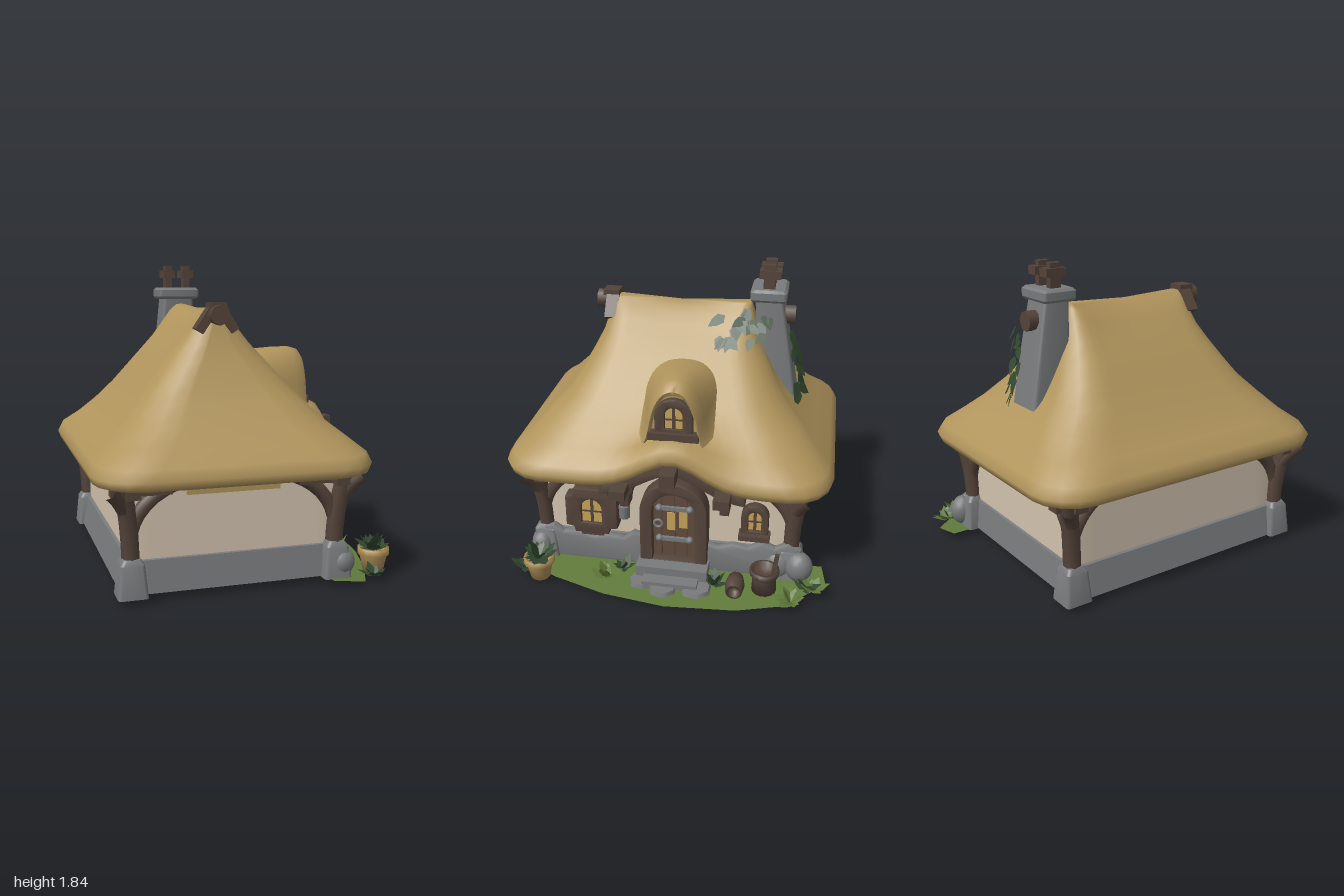
import * as THREE from 'three';
import { toCreasedNormals } from 'three/addons/utils/BufferGeometryUtils.js';

const mat = (name, color, side = THREE.FrontSide) => {
  const m = new THREE.MeshStandardMaterial({ color, side });
  m.name = name;
  return m;
};

export function createModel() {
  const D = THREE.DoubleSide;
  const thatch = mat('thatch', 0xb0945c, D), wood = mat('wood', 0x54443a), doorWood = mat('doorWood', 0x614b3e);
  const stone = mat('stone', 0x787a7b, D), plaster = mat('plaster', 0xd2c3ae, D), grass = mat('grass', 0x617a3b, D);
  const leafGreen = mat('leafGreen', 0x32482f, D), glow = mat('windowGlow', 0xc6a258), clay = mat('clay', 0xb29359, D);
  const house = new THREE.Group();
  house.name = 'cottage';

  // ---------- helpers ----------
  const add = (parent, name, geo, m, x = 0, y = 0, z = 0) => {
    const mesh = new THREE.Mesh(geo, m);
    mesh.name = name;
    mesh.position.set(x, y, z);
    parent.add(mesh);
    return mesh;
  };
  const box = (parent, name, m, w, h, d, x, y, z) => add(parent, name, new THREE.BoxGeometry(w, h, d), m, x, y, z);
  let seed = 7;
  const rnd = () => (seed = (seed * 16807) % 2147483647) / 2147483647;
  const smooth = THREE.MathUtils.smoothstep;
  const vec2 = list => list.map(p => new THREE.Vector2(p[0], p[1]));

  // rounded rectangle loop at height y
  const ring = (y, x0, x1, z0, z1, r, side = 12) => {
    r = Math.min(r, (x1 - x0) / 2.02, (z1 - z0) / 2.02);
    const c = [[x1 - r, z1 - r], [x0 + r, z1 - r], [x0 + r, z0 + r], [x1 - r, z0 + r]], pts = [];
    const at = (i, a) => new THREE.Vector3(c[i][0] + r * Math.cos(a), y, c[i][1] + r * Math.sin(a));
    for (let i = 0; i < 4; i++) {
      const a = i * Math.PI / 2;
      for (let k = 0; k <= 4; k++) pts.push(at(i, a + k * Math.PI / 8));
      const from = pts[pts.length - 1], to = at((i + 1) % 4, a + Math.PI / 2);
      for (let k = 1; k < side; k++) pts.push(from.clone().lerp(to, k / side));
    }
    return pts;
  };
  const loft = (rings, crease, bottom = false, top = false) => {
    const n = rings[0].length, pos = [], idx = [];
    rings.forEach(r => r.forEach(p => pos.push(p.x, p.y, p.z)));
    for (let j = 0; j < rings.length - 1; j++) for (let i = 0; i < n; i++) {
      const a = j * n + i, b = j * n + (i + 1) % n;
      idx.push(a, a + n, b, b, a + n, b + n);
    }
    const cap = (j, up) => {
      const c = rings[j].reduce((s, p) => s.add(p), new THREE.Vector3()).divideScalar(n), k = pos.length / 3;
      pos.push(c.x, c.y, c.z);
      for (let i = 0; i < n; i++) {
        const a = j * n + i, b = j * n + (i + 1) % n;
        up ? idx.push(k, b, a) : idx.push(k, a, b);
      }
    };
    if (bottom) cap(0, false);
    if (top) cap(rings.length - 1, true);
    const g = new THREE.BufferGeometry();
    g.setAttribute('position', new THREE.Float32BufferAttribute(pos, 3));
    g.setIndex(idx);
    g.computeVertexNormals();
    return crease ? toCreasedNormals(g, crease) : g;
  };
  const arch = (T, w, y0, y1) => {
    const s = new T(), r = w / 2;
    s.moveTo(-r, y0).lineTo(r, y0).lineTo(r, y1 - r).absarc(0, y1 - r, r, 0, Math.PI, false).lineTo(-r, y0);
    return s;
  };
  const extrude = (s, depth, bevel = 0.008) => toCreasedNormals(new THREE.ExtrudeGeometry(s, {
    depth, curveSegments: 8, bevelEnabled: bevel > 0, bevelSize: bevel, bevelThickness: bevel, bevelSegments: 2 }), 0.6);
  const branch = (parent, name, pts, r) => add(parent, name, new THREE.TubeGeometry(
    new THREE.QuadraticBezierCurve3(...pts.map(p => new THREE.Vector3(...p))), 6, r, 7), wood);

  // ---------- thatched roof: loops shrinking to the ridge, lifted over the door ----------
  const bell = z => Math.exp(-(((z + 0.06) / 0.25) ** 2));
  const levels = [
    [0.665, -0.7, 0.5, 0.78, 0.1], [0.645, -0.85, 0.66, 0.93, 0.22], [0.665, -0.9, 0.705, 0.985, 0.25],
    [0.71, -0.915, 0.72, 1, 0.26], [0.77, -0.89, 0.7, 0.965, 0.26], [0.85, -0.79, 0.61, 0.87, 0.25],
    [0.95, -0.685, 0.49, 0.78, 0.24], [1.07, -0.58, 0.38, 0.665, 0.21], [1.18, -0.49, 0.28, 0.595, 0.18],
    [1.29, -0.4, 0.185, 0.535, 0.16], [1.38, -0.32, 0.1, 0.488, 0.13], [1.46, -0.245, 0.02, 0.455, 0.1],
    [1.515, -0.195, -0.03, 0.435, 0.07], [1.545, -0.15, -0.075, 0.42, 0.03]];
  const loops = levels.map(([y, x0, x1, z, r]) => ring(y, x0, x1, -z, z, r, 16).map(p => {
    const w = y < 0.7 ? smooth(p.x, 0.2, 0.5) : smooth(p.x, 0.45, 0.72);
    p.y += 0.18 * w * bell(p.z) + 0.045 * smooth(y, 1.35, 1.53) * (p.z / 0.43) ** 2;
    return p;
  }));
  add(house, 'thatchedRoof', loft(loops.slice(1), 0, false, true), thatch);
  add(house, 'mossySoffit', loft(loops.slice(0, 2)), grass);
  add(house, 'ceiling', loft([ring(0.58, -0.69, 0.5, -0.75, 0.75, 0.05)], 0, true), thatch);

  // dormer hood: arched sections [x, half width, top, base], melting into the roof and recessed at the front
  const hoodCurve = new THREE.SplineCurve(vec2([[1.3, 0], [0.88, 0.12], [0.7, 0.35], [0.61, 0.58], [0.48, 0.79], [0.27, 0.95], [0, 1],
    [-0.27, 0.95], [-0.48, 0.79], [-0.61, 0.58], [-0.7, 0.35], [-0.88, 0.12], [-1.3, 0]])).getPoints(36);
  const hood = [[0.1, 0.38, 1.29, 1.1], [0.3, 0.34, 1.305, 0.98], [0.42, 0.3, 1.315, 0.91], [0.52, 0.265, 1.315, 0.86],
    [0.575, 0.24, 1.3, 0.84], [0.6, 0.22, 1.265, 0.84], [0.59, 0.205, 1.24, 0.85], [0.555, 0.2, 1.235, 0.85]];
  add(house, 'dormerHood', loft(hood.map(([x, w, t, b]) => hoodCurve.map(p =>
    new THREE.Vector3(x, b + (t - b) * p.y, -0.06 + w * p.x))), 1, false, true), thatch);

  // ---------- walls ----------
  add(house, 'stoneBase', loft([ring(0.04, -0.76, 0.54, -0.8, 0.8, 0.02), ring(0.225, -0.72, 0.525, -0.775, 0.775, 0.02),
    ring(0.23, -0.69, 0.5, -0.75, 0.75, 0.02)], 0.5), stone);
  add(house, 'plasterWalls', loft([ring(0.22, -0.7, 0.51, -0.76, 0.76, 0.02), ring(0.67, -0.7, 0.51, -0.76, 0.76, 0.02)], 0.5), plaster);
  for (const s of [1, -1]) box(house, 'thatchEdge', thatch, 0.55, 0.03, 0.012, -0.11, 0.59, s * 0.762);

  // ---------- corner posts with braces ----------
  for (const sx of [1, -1]) for (const sz of [1, -1]) {
    const g = new THREE.Group();
    g.name = 'cornerPost';
    g.position.set(sx > 0 ? 0.5 : -0.705, 0, 0.775 * sz);
    house.add(g);
    add(g, 'footStone', loft([ring(0.035, -0.085, 0.085, -0.085, 0.085, 0.02, 2), ring(0.22, -0.068, 0.068, -0.068, 0.068, 0.02, 2),
      ring(0.25, -0.05, 0.05, -0.05, 0.05, 0.02, 2)], 0.5, true, true), stone);
    branch(g, 'post', [[0, 0.2, 0], [0, 0.45, 0], [sx * 0.05, 0.66, sz * 0.05]], 0.052);
    branch(g, 'braceAcross', [[0, 0.38, 0], [-sx * 0.04, 0.56, 0], [-sx * 0.24, 0.64, 0]], 0.042);
    branch(g, 'braceAlong', [[0, 0.38, 0], [0, 0.56, -sz * 0.04], [0, 0.64, -sz * 0.22]], 0.042);
    branch(g, 'braceOut', [[0, 0.42, 0], [sx * 0.03, 0.56, sz * 0.02], [sx * 0.13, 0.65, sz * 0.1]], 0.045);
    box(g, 'beamAcross', wood, 0.34, 0.065, 0.08, -sx * 0.06, 0.63, 0);
    box(g, 'beamAlong', wood, 0.08, 0.065, 0.32, 0, 0.63, -sz * 0.04);
  }

  // ---------- entrance side; local x runs toward -z, local z toward +x ----------
  const facade = new THREE.Group();
  facade.name = 'entranceSide';
  facade.rotation.y = Math.PI / 2;
  house.add(facade);
  const band = low => {
    const top = [], N = 20;
    for (let i = 0; i <= N; i++) top.push(new THREE.Vector2(-0.37 + i * 0.86 / N, 0.665 + 0.17 * bell(0.37 - i * 0.86 / N)));
    return new THREE.Shape([...top, ...top.map(p => new THREE.Vector2(p.x, low ?? p.y - 0.065)).reverse()]);
  };
  add(facade, 'gablePlaster', extrude(band(0.6), 0.02, 0), plaster, 0, -0.01, 0.495);
  add(facade, 'thatchTrim', extrude(band(), 0.02, 0), thatch, 0, -0.022, 0.51);
  add(facade, 'archBeam', extrude(band(), 0.09), wood, 0, 0, 0.59);
  box(facade, 'ridgeBeamEnd', wood, 0.09, 0.08, 0.3, 0.06, 0.805, 0.67);
  const knee = new THREE.Shape(vec2([[-0.055, 0.66], [-0.045, 0.59], [-0.025, 0.56], [-0.02, 0.49], [0.02, 0.49], [0.025, 0.56], [0.045, 0.59], [0.055, 0.66]]));
  for (const u of [-0.24, 0.37]) {
    box(facade, 'bracketBeam', wood, 0.095, 0.06, 0.34, u, 0.668, 0.63);
    add(facade, 'bracketKnee', extrude(knee, 0.1), wood, u, 0, 0.51);
  }
  const frame = (name, u, z, w, y0, y1, iw, iy0, iy1, d) => {
    const s = arch(THREE.Shape, w, y0, y1);
    s.holes.push(arch(THREE.Path, iw, iy0, iy1));
    add(facade, name, extrude(s, d), wood, u, 0, z);
  };
  const panes = (u, z, w, y0, y1) => {
    add(facade, 'litPane', extrude(arch(THREE.Shape, w, y0, y1), 0.008, 0), glow, u, 0, z);
    box(facade, 'mullion', wood, 0.018, y1 - y0, 0.014, u, (y0 + y1) / 2, z + 0.006);
    box(facade, 'glazingBar', wood, w, 0.01, 0.012, u, y0 + (y1 - y0) * 0.45, z + 0.006);
  };

  // rough stone footing either side of the door
  for (const line of [[[-0.8, 0.22], [-0.72, 0.24], [-0.66, 0.2], [-0.56, 0.21], [-0.46, 0.18], [-0.36, 0.205], [-0.26, 0.19], [-0.2, 0.24], [-0.14, 0.22]],
    [[0.26, 0.21], [0.33, 0.19], [0.42, 0.22], [0.52, 0.205], [0.6, 0.25], [0.68, 0.22], [0.76, 0.26], [0.82, 0.23]]]) {
    const s = new THREE.Shape(vec2([[line[0][0], 0.05], ...line, [line[line.length - 1][0], 0.05]].reverse()));
    add(facade, 'roughFooting', extrude(s, 0.025, 0.018), stone, 0, 0, 0.52);
  }

  // door
  frame('doorFrame', 0.06, 0.5, 0.4, 0.1, 0.66, 0.28, 0.11, 0.6, 0.11);
  add(facade, 'door', extrude(arch(THREE.Shape, 0.28, 0.11, 0.6), 0.05, 0), doorWood, 0.06, 0, 0.51);
  for (const u of [-0.02, 0.06, 0.14]) box(facade, 'doorGroove', wood, 0.008, 0.43, 0.006, u, 0.34, 0.56);
  for (const [u, y] of [[0.04, 0.375], [0.115, 0.395]]) box(facade, 'doorPane', glow, 0.05, 0.125, 0.009, u, y, 0.563);
  for (const y of [0.25, 0.47]) {
    box(facade, 'hinge', stone, 0.19, 0.025, 0.02, 0.06, y, 0.57);
    for (const u of [-0.035, 0.155]) add(facade, 'hingeEnd', new THREE.SphereGeometry(0.024, 8, 6), stone, u, y, 0.57);
  }
  add(facade, 'knocker', new THREE.TorusGeometry(0.025, 0.009, 6, 12), stone, -0.04, 0.36, 0.575);
  box(facade, 'doorstep', stone, 0.44, 0.07, 0.2, 0.06, 0.08, 0.6);
  box(facade, 'lowerStep', stone, 0.34, 0.04, 0.16, 0.06, 0.045, 0.7);

  // large window
  const big = new THREE.Shape(vec2([[-0.155, 0.31], [-0.11, 0.3], [-0.1, 0.265], [0.1, 0.265], [0.11, 0.3], [0.155, 0.31],
    [0.155, 0.5], [0.11, 0.51], [0.1, 0.56], [-0.1, 0.56], [-0.11, 0.51], [-0.155, 0.5]]));
  big.holes.push(arch(THREE.Path, 0.145, 0.32, 0.505));
  add(facade, 'largeWindowFrame', extrude(big, 0.085), wood, -0.455, 0, 0.51);
  box(facade, 'largeWindowSill', wood, 0.14, 0.04, 0.08, -0.455, 0.255, 0.55);
  panes(-0.455, 0.57, 0.145, 0.32, 0.505);
  add(facade, 'wallLantern', new THREE.CylinderGeometry(0.038, 0.034, 0.085, 8), stone, -0.26, 0.4, 0.54);

  // small window
  frame('smallWindowFrame', 0.55, 0.505, 0.15, 0.33, 0.525, 0.095, 0.345, 0.495, 0.05);
  box(facade, 'smallWindowSill', wood, 0.19, 0.035, 0.09, 0.55, 0.32, 0.55);
  panes(0.55, 0.53, 0.095, 0.345, 0.495);

  // dormer window
  frame('dormerWindowFrame', 0.06, 0.55, 0.21, 0.97, 1.205, 0.12, 1.015, 1.165, 0.03);
  box(facade, 'dormerSill', wood, 0.3, 0.045, 0.06, 0.06, 0.98, 0.585);
  panes(0.06, 0.565, 0.12, 1.01, 1.165);

  // ---------- chimney ----------
  add(house, 'chimneyStack', loft([ring(0.9, -0.25, 0.01, -0.745, -0.5, 0.02, 2), ring(1.3, -0.235, 0, -0.68, -0.47, 0.02, 2),
    ring(1.63, -0.215, -0.015, -0.62, -0.455, 0.02, 2)], 0.5), stone);
  add(house, 'chimneyCap', loft([ring(1.62, -0.24, 0.01, -0.635, -0.435, 0.02, 2), ring(1.635, -0.25, 0.02, -0.645, -0.425, 0.02, 2),
    ring(1.68, -0.25, 0.02, -0.645, -0.425, 0.02, 2), ring(1.695, -0.235, 0.005, -0.63, -0.44, 0.02, 2)], 0.5, true, true), stone);
  for (const x of [-0.172, -0.047]) {
    box(house, 'chimneyPot', wood, 0.045, 0.15, 0.07, x, 1.765, -0.535);
    box(house, 'chimneyPotCollar', wood, 0.078, 0.05, 0.13, x, 1.785, -0.54);
  }

  // ---------- ridge log ends ----------
  for (const [z, y] of [[0.48, 1.55], [-0.64, 1.51]])
    add(house, 'ridgeLog', new THREE.CylinderGeometry(0.06, 0.06, 0.12, 8).rotateX(Math.PI / 2), wood, -0.12, y, z);
  for (const s of [1, -1]) box(house, 'ridgeSaddle', wood, 0.055, 0.17, 0.08, -0.12 + s * 0.062, 1.525, 0.44).rotation.z = s * 0.6;
  box(house, 'ridgeSaddleTop', wood, 0.1, 0.035, 0.1, -0.12, 1.6, 0.45);

  // ---------- ground strip and stones ----------
  const lawn = new THREE.ShapeGeometry(new THREE.Shape(vec2([[0.42, 0.97], [0.58, 1], [0.8, 0.76], [0.88, 0.48], [0.91, 0.05],
    [0.86, -0.33], [0.76, -0.66], [0.64, -0.92], [0.45, -0.9]]))).rotateX(-Math.PI / 2);
  const lp = lawn.attributes.position;
  for (let i = 0; i < lp.count; i++) lp.setY(i, 0.09 * (0.91 - lp.getX(i)));
  lawn.computeVertexNormals();
  add(house, 'grassStrip', lawn, grass);
  for (const [x, y, z, sx, sy, sz] of [[0.54, 0.12, 0.8, 0.08, 0.085, 0.07], [0.56, 0.13, -0.83, 0.075, 0.1, 0.085], [0.55, 0.12, -0.7, 0.05, 0.09, 0.08]])
    add(house, 'rock', new THREE.IcosahedronGeometry(1, 2), stone, x, y, z).scale.set(sx, sy, sz);
  for (const [x, z, r] of [[0.74, -0.22, 0.1], [0.77, -0.02, 0.09], [0.72, 0.12, 0.08]])
    add(house, 'pathStone', new THREE.CylinderGeometry(r * 0.9, r, 0.025, 7), stone, x, 0.03, z);

  // ---------- barrel, bucket and flower pot ----------
  const turned = (name, m, pts, x, y, z) => add(house, name, new THREE.LatheGeometry(vec2(pts), 14), m, x, y, z);
  turned('barrel', wood, [[0, 0], [0.045, 0], [0.06, 0.07], [0.05, 0.14], [0.035, 0.14], [0.03, 0.1], [0, 0.1]], 0.68, 0.09, -0.46).rotation.z = -Math.PI / 2;
  turned('bucket', wood, [[0, 0], [0.075, 0], [0.07, 0.09], [0.09, 0.12], [0.09, 0.15], [0.07, 0.15], [0.06, 0.11], [0, 0.11]], 0.69, 0.035, -0.63);
  box(house, 'bucketStick', wood, 0.025, 0.17, 0.025, 0.69, 0.21, -0.69).rotation.x = -0.15;
  turned('flowerPot', clay, [[0, 0], [0.06, 0], [0.08, 0.09], [0.095, 0.11], [0.095, 0.145], [0.075, 0.145], [0.07, 0.11], [0, 0.11]], 0.77, 0.025, 0.75);

  // ---------- foliage ----------
  const leaf = new THREE.ShapeGeometry(new THREE.Shape(vec2([[0, 0], [0.3, 0.25], [0.24, 0.6], [0, 1], [-0.24, 0.6], [-0.3, 0.25]])));
  const plant = (name, m, x, y, z, size, count) => {
    const g = new THREE.Group();
    g.name = name;
    g.position.set(x, y, z);
    house.add(g);
    for (let i = 0; i < count; i++) {
      const l = add(g, 'leaf', leaf, m);
      l.rotation.set(0.4 + rnd() * 0.95, i * 2.4, 0, 'YXZ');
      l.scale.setScalar(size * (0.7 + 0.5 * rnd()));
    }
  };
  plant('pottedPlant', leafGreen, 0.77, 0.15, 0.75, 0.12, 26);
  plant('shrub', leafGreen, 0.72, 0.03, 0.86, 0.1, 10);
  plant('shrub', grass, 0.73, 0.03, 0.34, 0.1, 14);
  plant('shrub', leafGreen, 0.64, 0.04, 0.25, 0.09, 8);
  plant('shrub', leafGreen, 0.7, 0.03, -0.33, 0.1, 12);
  plant('shrub', grass, 0.78, 0.03, -0.8, 0.1, 14);
  plant('shrub', grass, 0.66, 0.04, -0.92, 0.1, 12);
  plant('shrub', leafGreen, 0.66, 0.04, -0.88, 0.09, 8);
  const ivy = (x, y, z, dx, dy, dz) => {
    const l = add(house, 'ivyLeaf', leaf, leafGreen, x, y, z);
    l.lookAt(x + dx + rnd() * 0.5, y + dy, z + dz + rnd() * 0.5);
    l.rotateZ(Math.PI + (rnd() - 0.5) * 2);
    l.scale.setScalar(0.09 + 0.04 * rnd());
  };
  for (let i = 0; i < 18; i++) {
    const t = i / 17, y = 1.58 - 0.15 * rnd() - 0.05 * Math.abs(t - 0.4);
    ivy(0.155 - (y - 1.38) * 1.1, y, -0.53 + 0.27 * t, 0.8, 0.9, -0.2);
  }
  for (let i = 0; i < 15; i++) {
    const y = 1.46 - 0.4 * i / 14;
    ivy(-0.07 + 0.09 * rnd(), y, -0.665 - (1.6 - y) * 0.16, 0, 0.3, -1);
  }
  return house;
}
